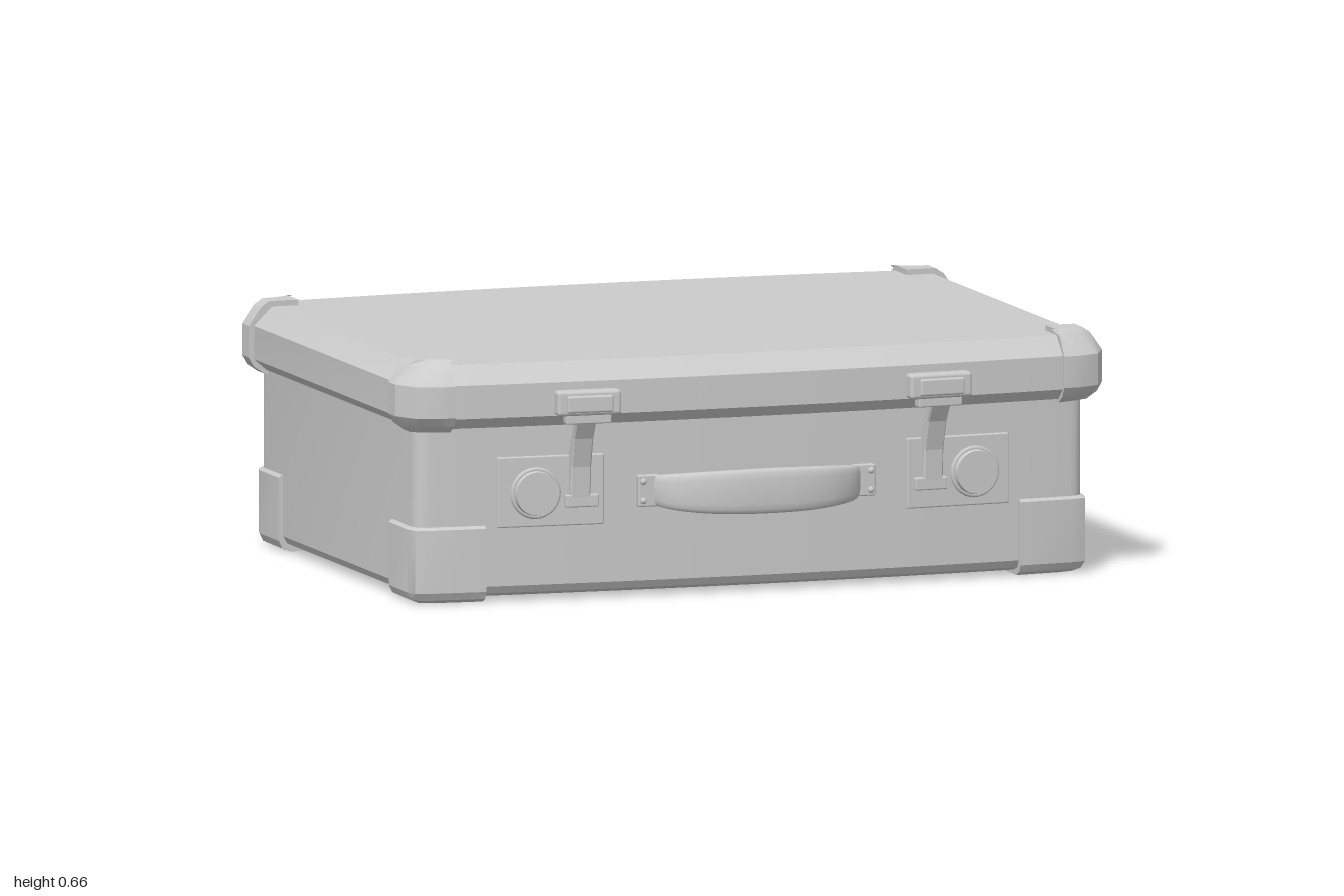
import * as THREE from 'three';
import { toCreasedNormals } from 'three/addons/utils/BufferGeometryUtils.js';
import { RoundedBoxGeometry } from 'three/addons/geometries/RoundedBoxGeometry.js';

const material = new THREE.MeshStandardMaterial({ color: 0xcccccc });
const CENTRE = -0.02; // the case sits slightly behind the handle

function add(parent, name, geometry, x = 0, y = 0, z = 0) {
  const mesh = new THREE.Mesh(geometry, material);
  mesh.name = name;
  mesh.position.set(x, y, z);
  parent.add(mesh);
  return mesh;
}

// Closed skin over rings of points, with a fan at each end
function loft(rings, crease = 0.45) {
  const n = rings[0].length, pos = [], idx = [];
  rings.forEach(r => r.forEach(p => pos.push(p.x, p.y, p.z)));
  for (let i = 0; i < rings.length - 1; i++) {
    for (let j = 0; j < n; j++) {
      const k = (j + 1) % n, a = i * n + j, b = i * n + k;
      idx.push(a, b, b + n, a, b + n, a + n);
    }
  }
  [0, rings.length - 1].forEach(i => {
    const c = new THREE.Vector3();
    rings[i].forEach(p => c.addScaledVector(p, 1 / n));
    const ci = pos.length / 3;
    pos.push(c.x, c.y, c.z);
    for (let j = 0; j < n; j++) {
      const a = i * n + j, b = i * n + (j + 1) % n;
      if (i === 0) idx.push(ci, b, a); else idx.push(ci, a, b);
    }
  });
  const g = new THREE.BufferGeometry();
  g.setAttribute('position', new THREE.Float32BufferAttribute(pos, 3));
  g.setIndex(idx);
  return toCreasedNormals(g, crease);
}

// Flat [x, z] outline raised to height y, always wound the same way
function ring(points, y) {
  let area = 0;
  points.forEach((p, i) => {
    const q = points[(i + 1) % points.length];
    area += p[0] * q[1] - q[0] * p[1];
  });
  const list = area > 0 ? [...points].reverse() : points;
  return list.map(p => new THREE.Vector3(p[0], y, p[1] + CENTRE));
}

// Half depth of a case part whose front and back bow outwards
const BODY = { w: 0.945, d: 0.625, bow: 0.045, r: 0.04 };
const LID = { w: 0.985, d: 0.685, bow: 0.05, r: 0.08 };
const halfDepth = (s, x) => s.d + s.bow * (1 - (x / s.w) ** 2);

function outline(s, inset) {
  const pts = [], w = s.w - inset;
  const half = [];
  for (let i = 0; i <= 20; i++) {
    const x = (w - s.r) * (1 - i / 10);
    half.push([x, halfDepth(s, x) - inset]);
  }
  const zc = halfDepth(s, w - s.r) - inset - s.r;
  const corner = [0, 1, 2, 3].map(i => {
    const a = i * Math.PI / 8;
    return [w - s.r + s.r * Math.cos(a), zc + s.r * Math.sin(a)];
  });
  pts.push(...corner, ...half, ...corner.map(p => [-p[0], p[1]]).reverse());
  return [...pts, ...pts.map(p => [-p[0], -p[1]])];
}

const shell = (s, levels) => loft(levels.map(([inset, y]) => ring(outline(s, inset), y)));

// Corner guards: polygon in the +x +z quadrant, mirrored to all four
function guards(parent, name, polygon, levels) {
  for (const sx of [1, -1]) for (const sz of [1, -1]) {
    add(parent, name, loft(levels.map(([inset, y]) =>
      ring(polygon(inset).map(([x, z]) => [x * sx, z * sz]), y))));
  }
}

// Profile of [depth, y] points extruded across x, centred
function acrossX(profile, width, bevel = 0.004) {
  const shape = new THREE.Shape(profile.map(p => new THREE.Vector2(...p)));
  const g = new THREE.ExtrudeGeometry(shape, {
    depth: width - 2 * bevel, bevelEnabled: true, bevelThickness: bevel, bevelSize: bevel, bevelSegments: 1,
  });
  g.translate(0, 0, -width / 2 + bevel);
  g.rotateY(-Math.PI / 2);
  return g;
}

const box = (w, h, d, r = 0.004) => new RoundedBoxGeometry(w, h, d, 2, r);

function createLock(side) {
  const lock = new THREE.Group();
  lock.name = 'lock';
  lock.position.set(side * 0.575, 0, halfDepth(BODY, 0.575) + CENTRE);
  lock.rotation.y = side * 0.058;
  add(lock, 'lockPlate', box(0.295, 0.19, 0.02), 0, 0.295, 0);
  const knob = add(lock, 'lockKnob', new THREE.CylinderGeometry(0.058, 0.064, 0.03, 32), side * 0.045, 0.292, 0.022);
  knob.rotation.x = Math.PI / 2;
  add(lock, 'knobRim', new THREE.TorusGeometry(0.063, 0.007, 8, 32), side * 0.045, 0.292, 0.018);

  // Tapered latch arm with a crossways foot
  const arm = new THREE.Group();
  arm.name = 'latchArm';
  arm.position.x = side * -0.083;
  lock.add(arm);
  add(arm, 'armStrap', acrossX([[0, 0.26], [0.022, 0.26], [0.028, 0.36], [0.05, 0.44], [0.085, 0.5],
    [0.06, 0.5], [0.03, 0.44], [0, 0.38]], 0.056), side * 0.005, 0, 0);
  add(arm, 'armFoot', box(0.092, 0.034, 0.03), 0, 0.267, 0.012);

  // Clasp on the lid
  const out = halfDepth(LID, 0.495) + CENTRE - lock.position.z;
  add(arm, 'claspBase', box(0.178, 0.068, 0.05, 0.01), 0, 0.54, out + 0.004);
  add(arm, 'claspPanel', box(0.128, 0.046, 0.02, 0.006), 0, 0.538, out + 0.027);
  add(arm, 'claspLip', box(0.125, 0.03, 0.034), 0, 0.498, out + 0.004);
  return lock;
}

function createHinge(x) {
  const hinge = new THREE.Group();
  hinge.name = 'hinge';
  hinge.position.set(x, 0, -halfDepth(LID, x) + CENTRE);
  hinge.rotation.y = Math.PI - x * 0.105;
  add(hinge, 'upperLeaf', acrossX([[-0.05, 0.47], [0, 0.475], [0.016, 0.52], [0.032, 0.565], [0.03, 0.588],
    [0.01, 0.6], [-0.03, 0.632], [-0.06, 0.632]], 0.245));
  const barrel = add(hinge, 'hingeBarrel', new THREE.CylinderGeometry(0.036, 0.036, 0.245, 16), 0, 0.445, -0.042);
  barrel.rotation.z = Math.PI / 2;
  add(hinge, 'lowerLeaf', box(0.215, 0.2, 0.06, 0.008), 0, 0.335, -0.064);
  add(hinge, 'leafPanel', box(0.18, 0.165, 0.02, 0.006), 0, 0.335, -0.036);
  return hinge;
}

function createHandle() {
  const handle = new THREE.Group();
  handle.name = 'handle';
  const half = [[0.285, 0.64], [0.262, 0.69], [0.2, 0.733], [0.11, 0.758]];
  const path = new THREE.CatmullRomCurve3(
    [...half.map(p => [-p[0], p[1]]), [0, 0.764], ...[...half].reverse()]
      .map(p => new THREE.Vector3(p[0], 0.285, p[1])));
  const up = new THREE.Vector3(0, 1, 0), rings = [];
  const soft = v => Math.sign(v) * Math.abs(v) ** 0.6; // squared-off oval section
  for (let i = 0; i <= 32; i++) {
    const p = path.getPoint(i / 32), n = path.getTangent(i / 32).cross(up);
    const h = 0.038 + 0.023 * Math.sin(Math.PI * i / 32);
    rings.push(Array.from({ length: 16 }, (_, j) => {
      const a = j / 16 * Math.PI * 2;
      return p.clone().addScaledVector(up, h * soft(Math.cos(a))).addScaledVector(n, 0.016 * soft(Math.sin(a)));
    }));
  }
  add(handle, 'handleGrip', loft(rings, 0.9));

  // Brackets with two rivets at each end
  for (const s of [1, -1]) {
    add(handle, 'handleBracket', box(0.06, 0.085, 0.03), s * 0.305, 0.285, 0.65);
    for (const dy of [-0.026, 0.026]) {
      add(handle, 'rivet', new THREE.SphereGeometry(0.009, 10, 8), s * 0.322, 0.285 + dy, 0.665);
    }
  }
  return handle;
}

export function createModel() {
  const model = new THREE.Group();
  model.name = 'suitcase';

  add(model, 'body', shell(BODY, [[0.04, 0.012], [0.012, 0.022], [0, 0.042], [0, 0.5]]));
  add(model, 'lid', shell(LID, [[0.035, 0.475], [0, 0.505], [0, 0.595], [0.05, 0.645]]));

  guards(model, 'bodyCorner', i => [[0.755, 0.44], [0.957 - i, 0.44], [0.957 - i, 0.595], [0.947 - i, 0.628 - i],
    [0.91 - i, 0.642 - i], [0.755, 0.654 - i]],
  [[0.032, 0], [0.01, 0.01], [0, 0.03], [0, 0.2], [0.008, 0.207]]);

  guards(model, 'lidCorner', i => [[0.86, 0.558], [1 - i, 0.558], [1 - i, 0.615], [0.965 - i, 0.68 - i],
    [0.905 - i, 0.706 - i], [0.86, 0.708 - i]],
  [[0.045, 0.465], [0.015, 0.485], [0, 0.51], [0, 0.595], [0.035, 0.645], [0.058, 0.66]]);

  model.add(createLock(1), createLock(-1), createHinge(-0.53), createHinge(0.5), createHandle());
  return model;
}
